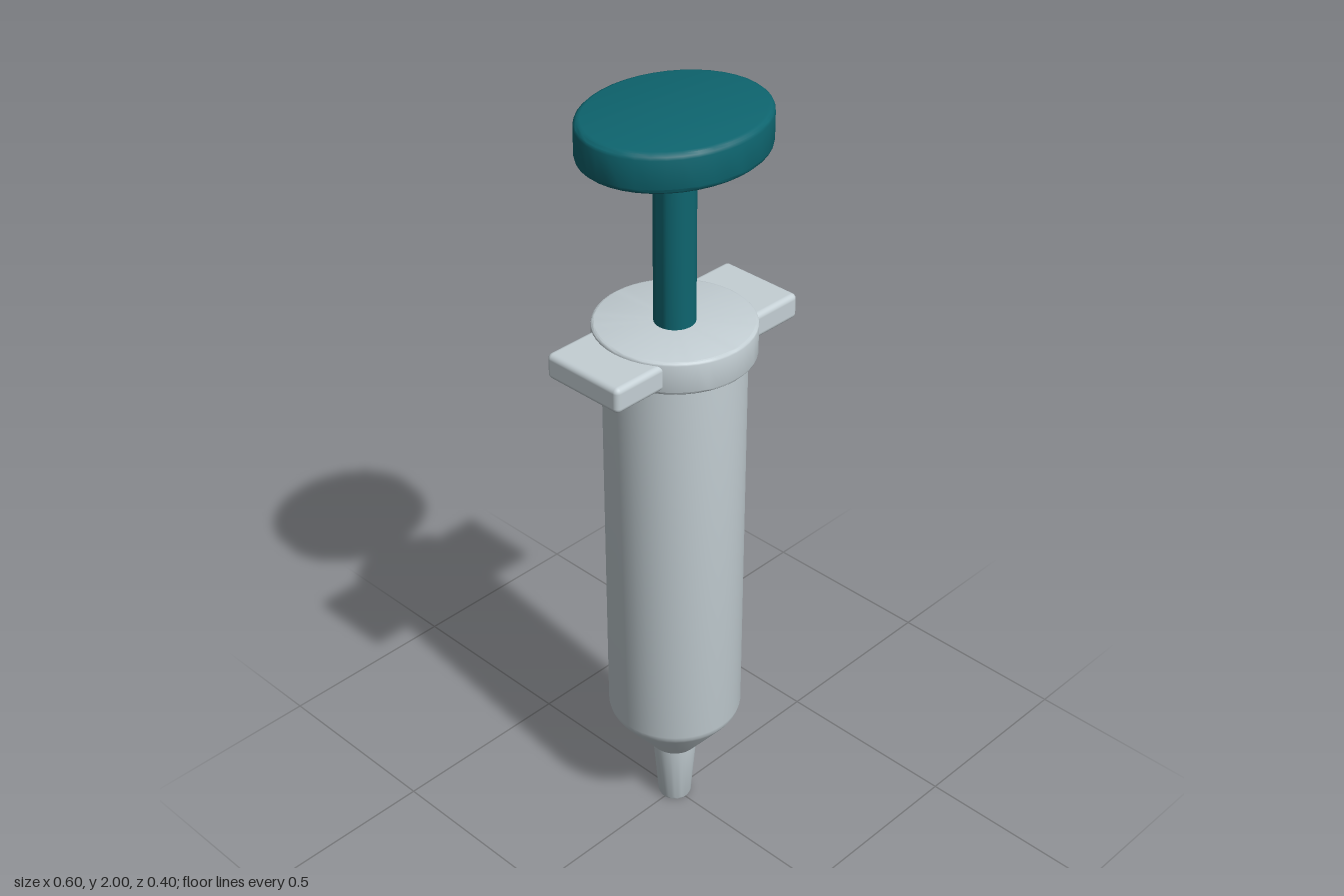
import * as THREE from 'three';
import { toCreasedNormals } from 'three/addons/utils/BufferGeometryUtils.js';
import { RoundedBoxGeometry } from 'three/addons/geometries/RoundedBoxGeometry.js';

const plastic = new THREE.MeshStandardMaterial({ name: 'pale grey plastic', color: 0xc4cfd4 });
const teal = new THREE.MeshStandardMaterial({ name: 'teal plastic', color: 0x0e656f });
const dark = new THREE.MeshStandardMaterial({ name: 'dark bore', color: 0x12383d });

// Turned part from [radius, height] pairs, listed bottom to top
function turned(name, profile, material, sides = 48) {
  const points = profile.map(([r, y]) => new THREE.Vector2(r, y));
  const geometry = toCreasedNormals(new THREE.LatheGeometry(points, sides), 0.6);
  const mesh = new THREE.Mesh(geometry, material);
  mesh.name = name;
  return mesh;
}

// Solid disc profile with rounded rims
function discProfile(radius, bottom, top, bevel) {
  const points = [[0, bottom]];
  for (let i = 0; i <= 3; i++) {
    const a = (i / 3) * Math.PI / 2;
    points.push([radius - bevel + bevel * Math.sin(a), bottom + bevel - bevel * Math.cos(a)]);
  }
  for (let i = 0; i <= 3; i++) {
    const a = (i / 3) * Math.PI / 2;
    points.push([radius - bevel + bevel * Math.cos(a), top - bevel + bevel * Math.sin(a)]);
  }
  points.push([0, top]);
  return points;
}

export function createModel() {
  const model = new THREE.Group();
  model.name = 'syringe';

  // Barrel with a tapered shoulder
  model.add(turned('barrel', [
    [0, 0.185], [0.062, 0.185], [0.162, 0.313], [0.169, 0.325], [0.172, 0.338], [0.172, 1.42],
  ], plastic));

  // Tapered nozzle with an open bore
  model.add(turned('nozzle', [
    [0.024, 0.04], [0.024, 0], [0.036, 0], [0.041, 0.003], [0.044, 0.01], [0.058, 0.19],
  ], plastic, 32));
  const bore = new THREE.Mesh(new THREE.CircleGeometry(0.025, 24), dark);
  bore.name = 'nozzleBore';
  bore.rotation.x = Math.PI / 2;
  bore.position.y = 0.004;
  model.add(bore);

  // Collar and the two finger tabs
  model.add(turned('collar', discProfile(0.195, 1.39, 1.475, 0.008), plastic));
  for (const side of [1, -1]) {
    const tab = new THREE.Mesh(new RoundedBoxGeometry(0.16, 0.066, 0.23, 3, 0.014), plastic);
    tab.name = side > 0 ? 'leftFingerTab' : 'rightFingerTab';
    tab.position.set(side * 0.22, 1.433, 0);
    model.add(tab);
  }

  // Plunger rod and oval thumb rest
  model.add(turned('plungerRod', [[0.05, 1.46], [0.05, 1.92]], teal, 32));
  const thumbRest = turned('thumbRest', discProfile(0.2, 1.905, 2, 0.014), teal, 40);
  thumbRest.scale.x = 1.2;
  model.add(thumbRest);

  return model;
}
